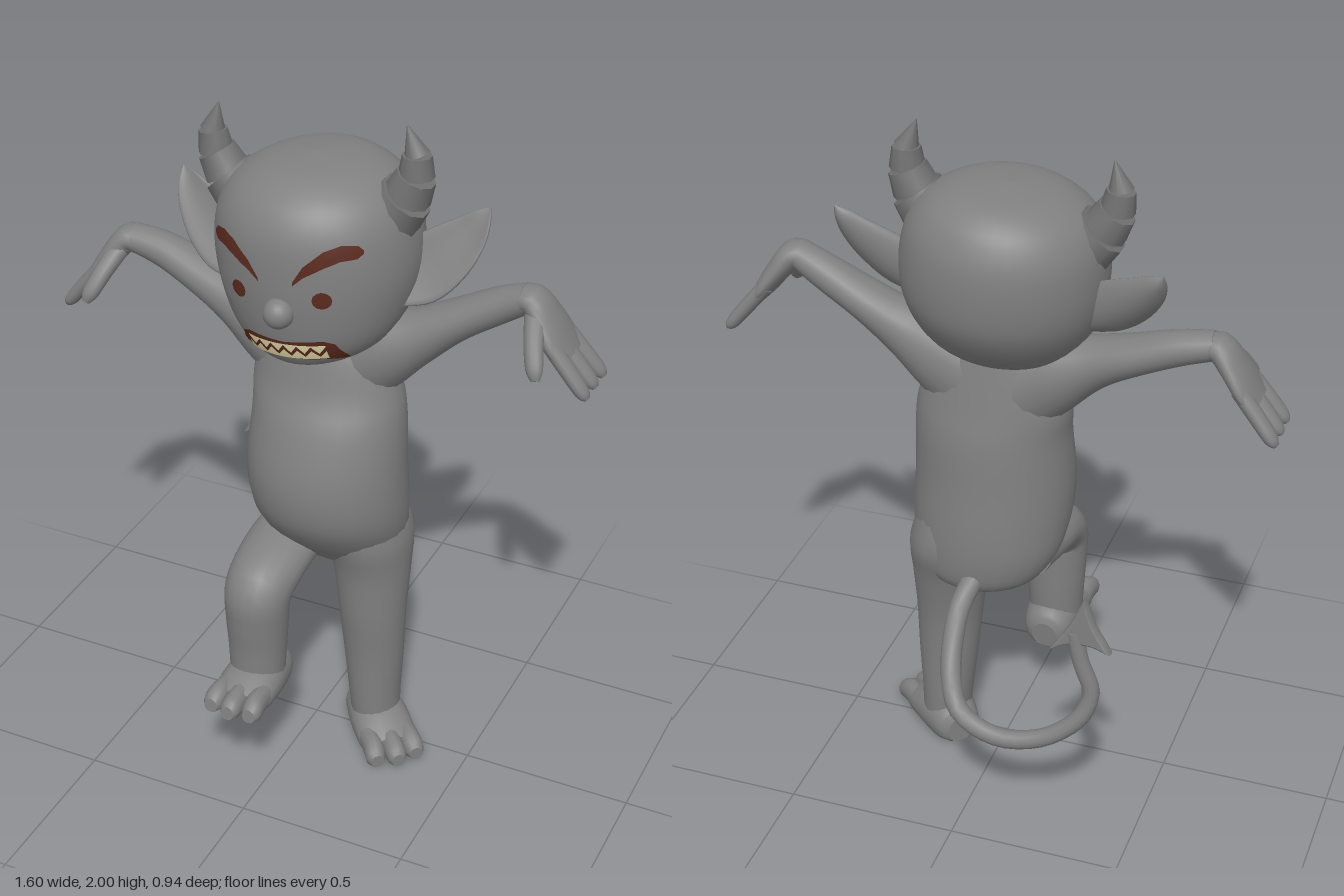
import * as THREE from 'three';

const mat = (name, color) => Object.assign(new THREE.MeshStandardMaterial({ color }), { name });
const V = (x, y, z) => new THREE.Vector3(x, y, z);

// Catmull-Rom resampling of rows of numbers
function smooth(rows, k = 4) {
  const out = [], at = i => rows[Math.max(0, Math.min(rows.length - 1, i))];
  for (let i = 0; i < rows.length - 1; i++) {
    const [a, b, c, d] = [at(i - 1), at(i), at(i + 1), at(i + 2)];
    for (let s = 0; s < k; s++) {
      const t = s / k;
      out.push(b.map((q, j) => 0.5 * (2 * q + (c[j] - a[j]) * t + (2 * a[j] - 5 * q + 4 * c[j] - d[j]) * t * t
        + (3 * q - 3 * c[j] + d[j] - a[j]) * t * t * t)));
    }
  }
  return [...out, rows[rows.length - 1]];
}

// Skin over elliptical sections: rows of [x, y, z, radius along side, other radius]
function limb(rows, side, { n = 20, axis = null, cup = 0 } = {}) {
  const pos = [], idx = [], m = rows.length;
  const c = rows.map(r => V(r[0], r[1], r[2]));
  rows.forEach((r, i) => {
    const T = axis ? axis.clone() : c[Math.min(m - 1, i + 1)].clone().sub(c[Math.max(0, i - 1)]).normalize();
    const A = side.clone().addScaledVector(T, -side.dot(T)).normalize();
    const B = T.clone().cross(A);
    for (let j = 0; j < n; j++) {
      const a = j / n * Math.PI * 2, co = Math.cos(a);
      const p = c[i].clone().addScaledVector(A, co * Math.max(r[3], 0.001))
        .addScaledVector(B, Math.max(r[4], 0.001) * (Math.sin(a) + cup * co * co));
      pos.push(p.x, p.y, p.z);
    }
  });
  for (let i = 0; i < m - 1; i++) for (let j = 0; j < n; j++) {
    const a = i * n + j, b = i * n + (j + 1) % n;
    idx.push(a, b, a + n, b, b + n, a + n);
  }
  for (const [row, flip] of [[0, true], [m - 1, false]]) {
    const base = pos.length / 3;
    for (let j = 0; j < n; j++) pos.push(...pos.slice((row * n + j) * 3, (row * n + j) * 3 + 3));
    pos.push(...c[row].toArray());
    for (let j = 0; j < n; j++) {
      const a = base + j, b = base + (j + 1) % n;
      idx.push(...(flip ? [b, a, base + n] : [a, b, base + n]));
    }
  }
  const g = new THREE.BufferGeometry();
  g.setAttribute('position', new THREE.Float32BufferAttribute(pos, 3));
  g.setIndex(idx);
  g.computeVertexNormals();
  return g;
}

function mirror(geo) {
  const g = geo.clone().scale(-1, 1, 1), ix = g.index.array;
  for (let i = 0; i < ix.length; i += 3) [ix[i], ix[i + 1]] = [ix[i + 1], ix[i]];
  g.computeVertexNormals();
  return g;
}

// Head profile: [y, half width, front z, back z]
const headRows = smooth([
  [-0.28, 0, 0.06, 0.06], [-0.27, 0.11, 0.17, -0.07], [-0.24, 0.185, 0.205, -0.15], [-0.18, 0.238, 0.23, -0.22],
  [-0.09, 0.275, 0.245, -0.28], [0, 0.29, 0.25, -0.3], [0.1, 0.283, 0.245, -0.3], [0.17, 0.257, 0.22, -0.28],
  [0.22, 0.21, 0.175, -0.245], [0.255, 0.13, 0.1, -0.18], [0.27, 0, -0.04, -0.04],
].map(([y, w, f, b]) => [0, y, (f + b) / 2, w, (f - b) / 2]));

function headZ(x, y) {
  let i = 0;
  while (i < headRows.length - 2 && headRows[i + 1][1] < y) i++;
  const a = headRows[i], b = headRows[i + 1], t = (y - a[1]) / (b[1] - a[1]);
  const [z, w, d] = [2, 3, 4].map(k => a[k] + (b[k] - a[k]) * t);
  return z + d * Math.sqrt(Math.max(0, 1 - (x / w) ** 2));
}

// Lay flat geometry onto the face
function onFace(g, lift) {
  const p = g.attributes.position;
  for (let i = 0; i < p.count; i++) p.setZ(i, headZ(p.getX(i), p.getY(i)) + lift);
  g.computeVertexNormals();
  return g;
}

// Painted strip from columns of [x, low y, high y]
function strip(cols, lift) {
  const fine = [];
  cols.forEach((c, i) => {
    const d = cols[i + 1];
    if (!d) return fine.push(c);
    for (let s = 0; s < 3; s++) fine.push(c.map((q, j) => q + (d[j] - q) * s / 3));
  });
  const g = new THREE.PlaneGeometry(1, 1, fine.length - 1, 3), p = g.attributes.position;
  for (let i = 0; i < p.count; i++) {
    const [x, lo, hi] = fine[i % fine.length], row = Math.floor(i / fine.length);
    p.setXY(i, x, hi + (lo - hi) * row / 3);
  }
  return onFace(g, lift);
}

export function createModel() {
  const skin = mat('skin grey', 0x808080), horn = mat('horn grey', 0x707070);
  const brown = mat('dark brown', 0x5a2a1e), cream = mat('tooth cream', 0xe6dcaa);
  const root = new THREE.Group();
  const X = V(1, 0, 0), Y = V(0, 1, 0), Z = V(0, 0, 1);
  const add = (parent, name, geo, m = skin) => {
    const mesh = new THREE.Mesh(geo, m);
    mesh.name = name;
    parent.add(mesh);
    return mesh;
  };
  const group = (name, parent = root) => {
    const g = new THREE.Group();
    g.name = name;
    parent.add(g);
    return g;
  };

  // Torso
  add(root, 'torso', limb(smooth([
    [0.07, 0.6, -0.06, 0.1, 0.08], [0.06, 0.64, -0.055, 0.17, 0.13], [0.05, 0.72, -0.025, 0.215, 0.175],
    [0.045, 0.82, 0.005, 0.233, 0.205], [0.04, 0.95, 0.015, 0.235, 0.205], [0.04, 1.1, 0, 0.228, 0.18],
    [0.03, 1.2, -0.015, 0.222, 0.147], [0.02, 1.32, -0.02, 0.185, 0.12], [0.01, 1.42, -0.03, 0.11, 0.09],
  ]), X, { n: 28, axis: Y }));

  // Arms
  add(root, 'leftArm', limb(smooth([
    [0.08, 1.26, -0.03, 0.11, 0.15], [0.2, 1.33, -0.03, 0.1, 0.115], [0.3, 1.385, -0.035, 0.08, 0.078],
    [0.4, 1.45, -0.045, 0.07, 0.058], [0.52, 1.52, -0.05, 0.055, 0.05], [0.6, 1.562, -0.045, 0.048, 0.04]]), Z));
  add(root, 'rightArm', limb(smooth([
    [-0.04, 1.25, -0.03, 0.11, 0.14], [-0.16, 1.32, -0.03, 0.1, 0.115], [-0.27, 1.37, -0.035, 0.08, 0.075],
    [-0.38, 1.415, -0.045, 0.07, 0.058], [-0.5, 1.46, -0.05, 0.055, 0.05], [-0.6, 1.482, -0.045, 0.048, 0.04]]), Z));

  // Hands: palm, three fingers, thumb
  const handParts = [['palm', limb(smooth([
    [0.56, 1.545, -0.045, 0.042, 0.034], [0.61, 1.56, -0.045, 0.055, 0.038], [0.655, 1.51, -0.045, 0.075, 0.034],
    [0.69, 1.46, -0.045, 0.088, 0.029], [0.72, 1.42, -0.045, 0.08, 0.022]]), Z)]];
  for (const [z0, z1] of [[0.012, 0.015], [-0.045, -0.052], [-0.1, -0.118]]) {
    handParts.push(['finger', limb(smooth([
      [0.68, 1.47, z0, 0.028, 0.022], [0.735, 1.405, (z0 + z1) / 2, 0.027, 0.022],
      [0.78, 1.35, z1, 0.024, 0.019], [0.795, 1.332, z1, 0.012, 0.009]]), Z, { n: 12 })]);
  }
  handParts.push(['thumb', limb(smooth([
    [0.63, 1.53, -0.01, 0.03, 0.028], [0.65, 1.48, 0.05, 0.027, 0.025], [0.67, 1.43, 0.09, 0.024, 0.022],
    [0.68, 1.405, 0.105, 0.012, 0.01]]), X, { n: 12 })]);
  const leftHand = group('leftHand'), rightHand = group('rightHand');
  for (const [name, g] of handParts) {
    add(leftHand, name, g);
    add(rightHand, name, mirror(g));
  }
  rightHand.position.y = -0.08;

  // Legs: left one stands, right one is lifted
  add(root, 'leftLeg', limb(smooth([
    [0.19, 0.05, -0.02, 0.072, 0.08], [0.185, 0.14, -0.02, 0.076, 0.085], [0.18, 0.3, -0.018, 0.09, 0.088],
    [0.175, 0.45, -0.015, 0.1, 0.1], [0.168, 0.6, -0.025, 0.113, 0.12], [0.16, 0.72, -0.03, 0.12, 0.15],
    [0.14, 0.85, -0.02, 0.1, 0.14]]), X, { axis: Y }));
  add(root, 'rightLeg', limb(smooth([
    [-0.05, 0.7, -0.03, 0.1, 0.09], [-0.06, 0.68, 0.08, 0.108, 0.07], [-0.065, 0.65, 0.18, 0.105, 0.075],
    [-0.07, 0.6, 0.245, 0.098, 0.092], [-0.072, 0.52, 0.25, 0.093, 0.09], [-0.073, 0.42, 0.247, 0.087, 0.084],
    [-0.073, 0.3, 0.25, 0.08, 0.08]]), X));

  // Feet with three toes and flat soles
  const flatSole = g => {
    const p = g.attributes.position;
    for (let i = 0; i < p.count; i++) p.setY(i, Math.max(0, p.getY(i)));
    g.computeVertexNormals();
    return g;
  };
  const foot = name => {
    const f = group(name);
    add(f, 'sole', flatSole(limb(smooth([
      [0, 0.04, -0.105, 0.04, 0.045], [0, 0.05, -0.08, 0.07, 0.07], [0, 0.05, 0, 0.086, 0.08],
      [0, 0.04, 0.07, 0.09, 0.067], [0, 0.03, 0.12, 0.086, 0.05], [0, 0.03, 0.15, 0.07, 0.03]]), X, { axis: Z })));
    for (const x of [-0.058, 0, 0.058]) {
      const end = x ? 0.195 : 0.21;
      add(f, 'toe', flatSole(limb(smooth([
        [x, 0.04, 0.07, 0.028, 0.035], [x, 0.035, 0.14, 0.031, 0.04], [x * 1.05, 0.025, end - 0.02, 0.03, 0.036],
        [x * 1.05, 0.02, end, 0.02, 0.022]]), X, { n: 12, axis: Z })));
    }
    return f;
  };
  const lf = foot('leftFoot');
  lf.position.set(0.19, 0, -0.02);
  lf.rotation.y = 0.75;
  const rf = foot('rightFoot');
  rf.position.set(-0.07, 0.25, 0.25);
  rf.rotation.x = -0.12;

  // Tail with barbed tip
  add(root, 'tail', limb(smooth([
    [0.04, 0.68, -0.15], [0.06, 0.61, -0.25], [0.05, 0.49, -0.35], [0, 0.39, -0.425], [-0.12, 0.345, -0.45],
    [-0.25, 0.365, -0.44], [-0.35, 0.44, -0.42], [-0.383, 0.53, -0.4], [-0.352, 0.63, -0.4], [-0.332, 0.73, -0.4],
  ].map((p, i) => [...p, 0.032 - i * 0.001, 0.032 - i * 0.001])), V(0.3, 0.2, 1), { n: 12 }));
  const s = new THREE.Shape();
  s.moveTo(-0.36, 0.835);
  s.quadraticCurveTo(-0.335, 0.74, -0.272, 0.668);
  s.quadraticCurveTo(-0.31, 0.7, -0.34, 0.698);
  s.quadraticCurveTo(-0.39, 0.71, -0.43, 0.683);
  s.quadraticCurveTo(-0.375, 0.75, -0.36, 0.835);
  add(root, 'tailTip', new THREE.ExtrudeGeometry(s, {
    depth: 0.01, bevelThickness: 0.013, bevelSize: 0.008, bevelSegments: 2, curveSegments: 6 }).translate(0, 0, -0.405));

  // Head, tilted slightly
  const head = group('head');
  head.position.y = 1.6;
  head.rotation.z = 0.068;
  add(head, 'skull', limb(headRows, X, { n: 40, axis: Y }));
  add(head, 'nose', new THREE.SphereGeometry(0.043, 20, 14).translate(0, -0.08, 0.248));

  // Ears, cupped forward
  const ear = limb(smooth([
    [0.22, -0.09, -0.04, 0.07, 0.03], [0.29, -0.055, -0.06, 0.092, 0.028], [0.355, -0.005, -0.08, 0.084, 0.024],
    [0.41, 0.05, -0.1, 0.06, 0.018], [0.445, 0.1, -0.115, 0.03, 0.012], [0.462, 0.132, -0.12, 0, 0]]),
    V(-0.6, 0.8, -0.35), { cup: 1.2 });
  add(head, 'leftEar', ear);
  add(head, 'rightEar', mirror(ear));

  // Horns made of stepped rings
  const h = [[0.21, 0.115, 0.09], [0.265, 0.18, 0.068], [0.295, 0.24, 0.05], [0.3, 0.3, 0.036], [0.275, 0.382, 0]];
  for (let i = 0; i < 4; i++) {
    const [a, b] = [h[i], h[i + 1]], rb = b[2] * 1.12;
    const ring = limb([[a[0], a[1], -0.02, a[2], a[2]], [b[0], b[1], -0.02, rb, rb]], Z, { n: 10 });
    add(head, 'leftHorn', ring, horn);
    add(head, 'rightHorn', mirror(ring), horn);
  }

  // Eyes and brows
  const brow = [[0.05, 0.01, 0.02], [0.08, 0.035, 0.065], [0.13, 0.06, 0.105], [0.17, 0.075, 0.117],
    [0.205, 0.075, 0.11], [0.217, 0.085, 0.095]];
  for (const k of [1, -1]) {
    add(head, 'eye', onFace(new THREE.RingGeometry(0, 0.057, 28, 4).translate(k * 0.15, -0.03, 0), 0.006));
    add(head, 'iris', onFace(new THREE.RingGeometry(0, 0.025, 12, 2).translate(k * 0.122, -0.033, 0), 0.009), brown);
    const cols = k > 0 ? brow : brow.map(([x, l, t]) => [-x, l, t]).reverse();
    add(head, 'brow', strip(cols, 0.009), brown);
  }

  // Snarling mouth with two rows of pointed teeth
  add(head, 'mouth', strip([[-0.152, -0.238, -0.222], [-0.135, -0.236, -0.175], [-0.11, -0.23, -0.163],
    [0, -0.226, -0.17], [0.11, -0.23, -0.163], [0.135, -0.236, -0.175], [0.152, -0.238, -0.222]], 0.006), brown);
  const upper = [], lower = [];
  for (let i = 0; i <= 12; i++) {
    const x = -0.114 + i * 0.019, up = i % 2 === 0;
    upper.push([x, up ? -0.18 : -0.204, -0.176]);
    lower.push([x, -0.224, up ? -0.194 : -0.216]);
  }
  add(head, 'upperTeeth', strip(upper, 0.009), cream);
  add(head, 'lowerTeeth', strip(lower, 0.009), cream);
  return root;
}
